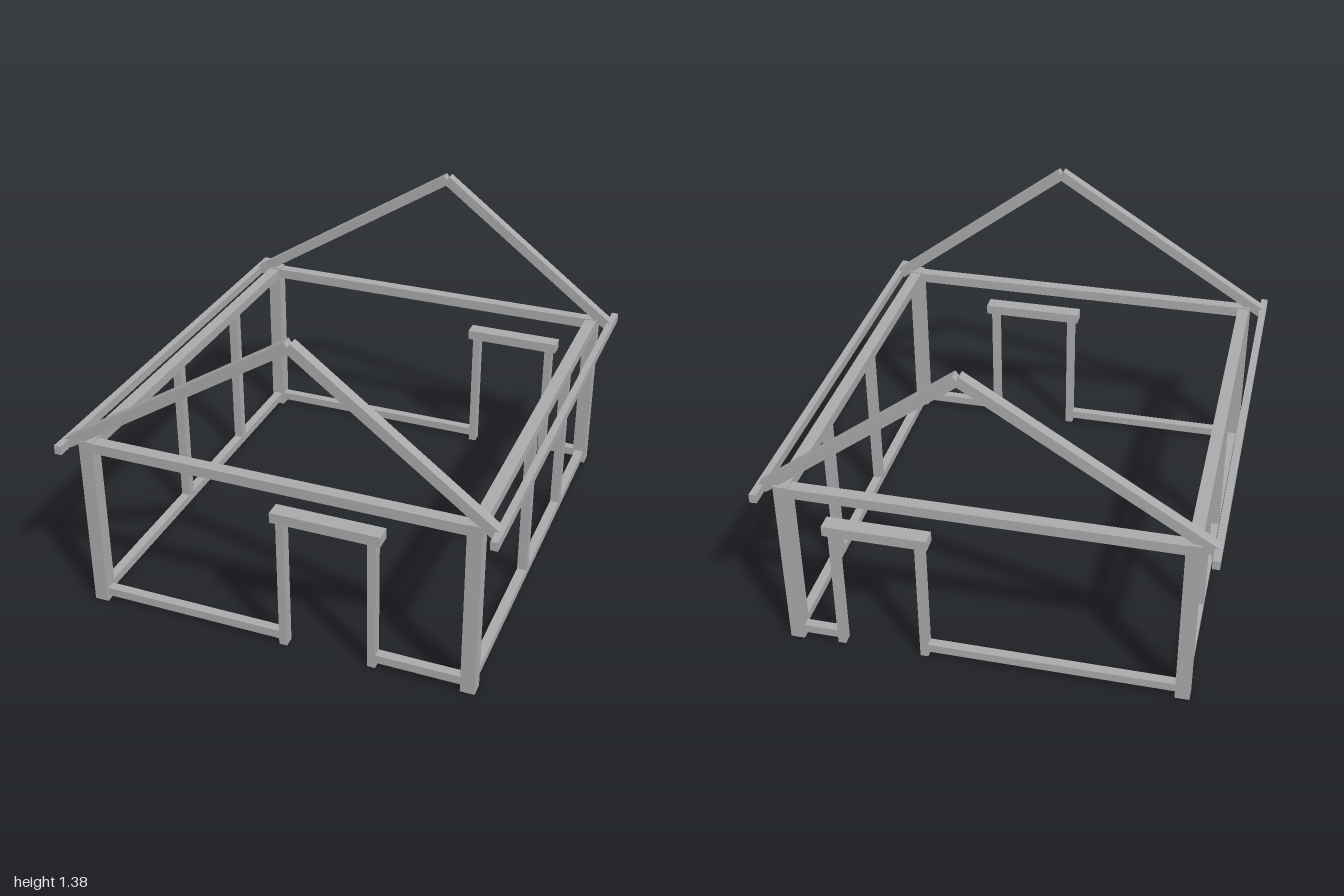
import * as THREE from 'three';

export function createModel() {
  const model = new THREE.Group();
  model.name = 'houseFrame';
  const timber = new THREE.MeshStandardMaterial({ color: 0xaaaaaa });
  timber.name = 'grey timber';

  // Box beam given by its extents on each axis
  function beam(name, [x0, x1], [y0, y1], [z0, z1]) {
    const mesh = new THREE.Mesh(new THREE.BoxGeometry(x1 - x0, y1 - y0, z1 - z0), timber);
    mesh.position.set((x0 + x1) / 2, (y0 + y1) / 2, (z0 + z1) / 2);
    mesh.name = name;
    model.add(mesh);
    return mesh;
  }
  const around = (c, size) => [c - size / 2, c + size / 2];

  const WALL_X = 0.81, WALL_Z = 0.91;
  const SILL_Y = [0.025, 0.062], PLATE_Y = [0.73, 0.775];

  // Side walls: corner posts, sill, top plate, studs and overhanging eave
  for (const s of [-1, 1]) {
    const x = s * WALL_X;
    for (const t of [-1, 1]) {
      beam('cornerPost', around(x, 0.06), [0, 0.78], around(t * WALL_Z, 0.06));
    }
    beam('sideSill', around(x, 0.04), SILL_Y, [-0.88, 0.88]);
    beam('sideTopPlate', around(x, 0.052), PLATE_Y, [-0.88, 0.88]);
    for (const z of [0.15, -0.415]) {
      beam('sideStud', around(x, 0.04), [0.06, 0.732], around(z, 0.04));
    }
    beam('eaveBeam', around(s * 0.9, 0.03), [0.736, 0.774], [-1, 1]);
  }

  // Gable walls: top plate, door frame, sills beside the door, rafters
  const gables = [
    { z: WALL_Z, door: [0.01, 0.425], head: [0.595, 0.64], lintel: [-0.01, 0.447], rafterZ: 0.915 },
    { z: -WALL_Z, door: [0.243, 0.634], head: [0.572, 0.617], lintel: [0.222, 0.654], rafterZ: -0.905 },
  ];
  const apex = new THREE.Vector2(0.083, 1.366);
  for (const { z, door, head, lintel, rafterZ } of gables) {
    beam('gableTopPlate', [-0.78, 0.78], PLATE_Y, around(z, 0.052));
    beam('gableSill', [-0.78, door[0]], SILL_Y, around(z, 0.04));
    beam('gableSill', [door[1], 0.78], SILL_Y, around(z, 0.04));
    beam('doorPost', [door[0], door[0] + 0.034], [0, head[0]], around(z, 0.045));
    beam('doorPost', [door[1] - 0.034, door[1]], [0, head[0]], around(z, 0.045));
    beam('doorLintel', lintel, head, around(z, 0.068));

    for (const s of [-1, 1]) {
      const foot = new THREE.Vector2(s * 0.89, 0.757);
      const run = apex.clone().sub(foot);
      const rafter = beam('rafter', around((apex.x + foot.x) / 2, run.length()),
        around((apex.y + foot.y) / 2, 0.044), around(rafterZ, 0.046));
      rafter.rotation.z = run.angle();
    }
  }
  return model;
}
